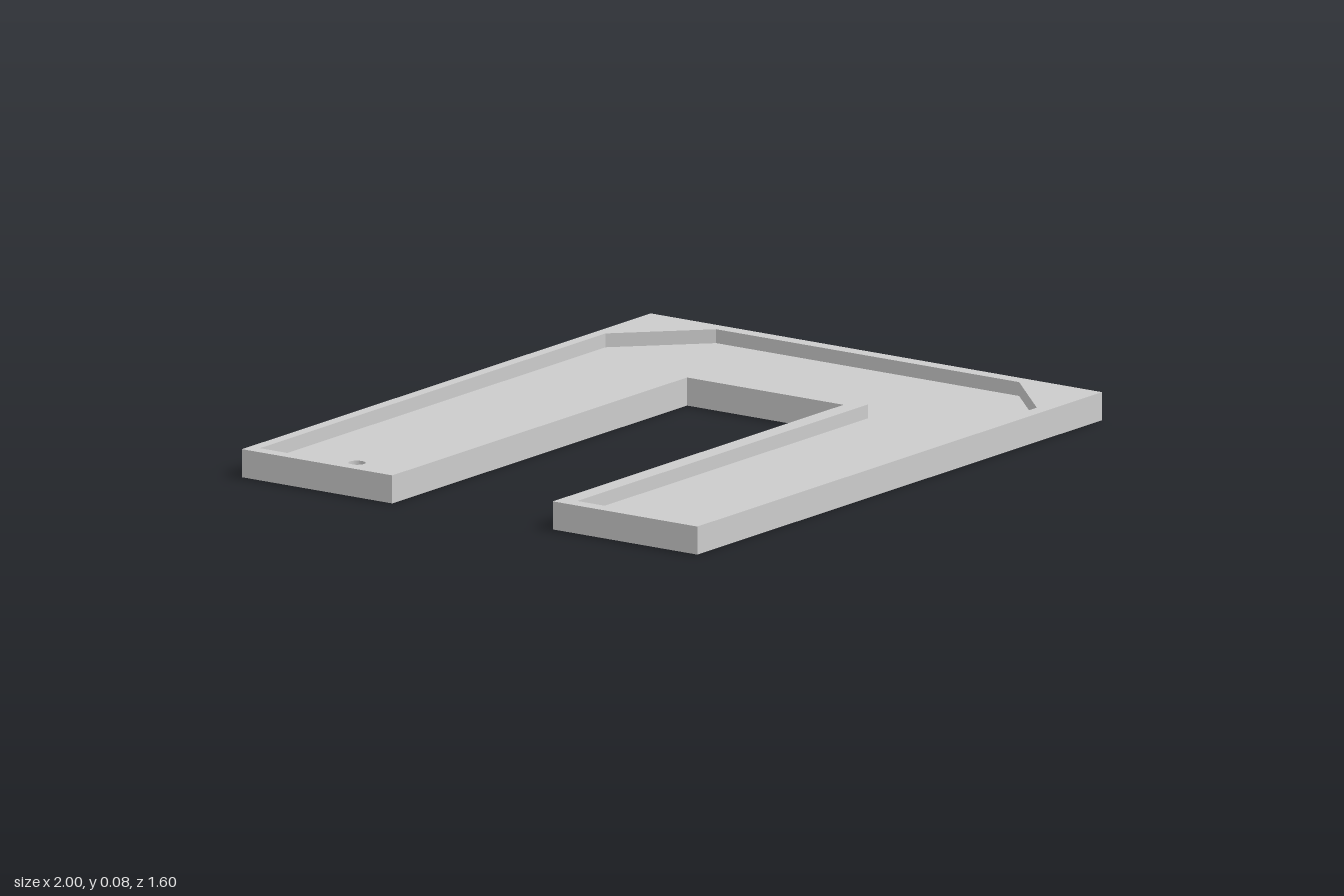
import * as THREE from 'three';

const material = new THREE.MeshStandardMaterial({ color: 0xcccccc, flatShading: true });

// Heights of the tray
const TOP = 0.083, FLOOR = 0.042, PIT = 0.022;

// Outlines as [x, z] corners, all running the same way round
const outer = [[-1, -0.8], [1, -0.8], [1, 0.8], [-0.98, 0.8],
  [-0.98, 0.288], [0.442, 0.288], [0.442, -0.267], [-1, -0.267]];
const inner = [[-0.96, -0.765], [0.73, -0.765], [0.957, -0.537], [0.957, 0.537], [0.74, 0.757],
  [-0.935, 0.757], [-0.935, 0.342], [0.487, 0.342], [0.487, -0.305], [-0.96, -0.305]];
const pit = Array.from({ length: 32 }, (_, i) => {
  const a = (i / 32) * Math.PI * 2;
  return [-0.803 + 0.025 * Math.cos(a), -0.535 + 0.025 * Math.sin(a)];
});

// Flat horizontal face at height y, facing up (dir 1) or down (dir -1)
function face(outline, y, dir, hole) {
  const toPoints = (list) => list.map(([x, z]) => new THREE.Vector2(x, -dir * z));
  const shape = new THREE.Shape(toPoints(outline));
  if (hole) shape.holes.push(new THREE.Path(toPoints(hole)));
  return new THREE.ShapeGeometry(shape).rotateX(-dir * Math.PI / 2).translate(0, y, 0);
}

// Vertical band along an outline, facing outward or inward
function wall(outline, y0, y1, inward = false) {
  const pts = inward ? [...outline].reverse() : outline;
  const pos = [];
  pts.forEach(([ax, az], i) => {
    const [bx, bz] = pts[(i + 1) % pts.length];
    pos.push(ax, y0, az, ax, y1, az, bx, y1, bz, ax, y0, az, bx, y1, bz, bx, y0, bz);
  });
  const geometry = new THREE.BufferGeometry();
  geometry.setAttribute('position', new THREE.Float32BufferAttribute(pos, 3));
  geometry.computeVertexNormals();
  return geometry;
}

export function createModel() {
  const model = new THREE.Group();
  model.name = 'uShapedTray';
  const add = (name, geometry) => {
    const mesh = new THREE.Mesh(geometry, material);
    mesh.name = name;
    model.add(mesh);
  };

  // Outside shell
  add('underside', face(outer, 0, -1));
  add('outerWall', wall(outer, 0, TOP));
  add('rim', face(outer, TOP, 1, inner));

  // Recess with chamfered corners
  add('recessWall', wall(inner, FLOOR, TOP, true));
  add('recessFloor', face(inner, FLOOR, 1, pit));

  // Small blind hole in the back arm
  add('holeWall', wall(pit, PIT, FLOOR, true));
  add('holeBottom', face(pit, PIT, 1));

  return model;
}
